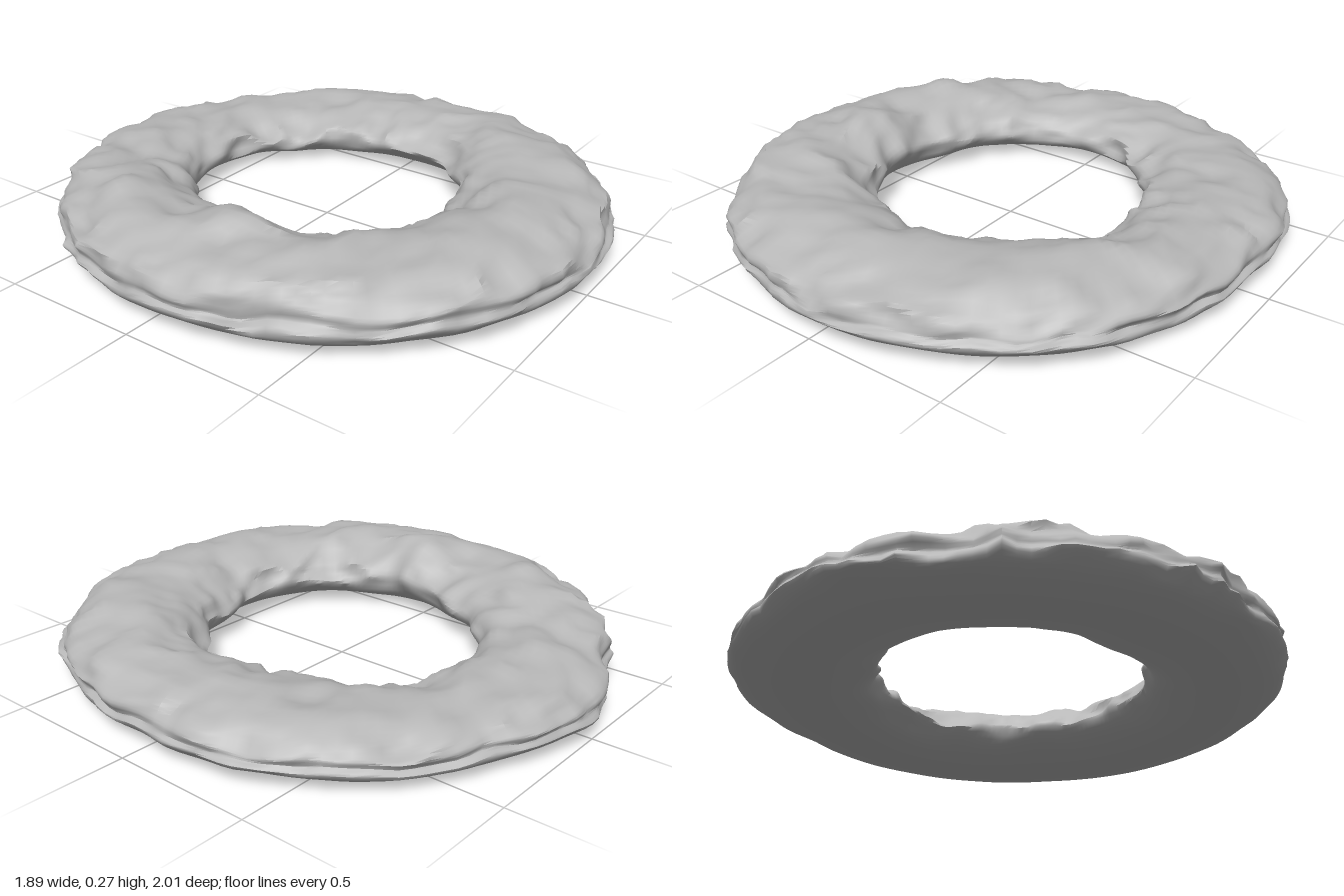
import * as THREE from 'three';
import { toCreasedNormals } from 'three/addons/utils/BufferGeometryUtils.js';

// Sixteen compass readings, starting at +x and turning towards the front (+z)
const OUTER = [.93, .95, .97, .98, .99, .98, .97, .95, .94, .94, .935, .95, 1, .98, .98, .96];
const INNER = [.48, .5, .48, .44, .46, .47, .48, .46, .46, .44, .48, .5, .53, .53, .49, .47];
const HEIGHT = [.19, .2, .215, .22, .22, .225, .24, .24, .235, .22, .22, .195, .175, .165, .17, .185];

// Ring section: across (0 inner, 1 outer) and up (0 ground, 1 crest)
const SECTION = [[.24, .05], [.48, 0], [.72, .02], [.87, .11], [.96, .22], [1, .36], [.965, .44], [.98, .56],
  [.945, .7], [.86, .83], [.7, .95], [.48, 1], [.28, .94], [.13, .79], [.03, .6], [0, .42], [.08, .2]];

const AROUND = 144, ACROSS = 51;

// Smooth periodic reading of a list, t in 0..1
function cyclic(list, t) {
  const n = list.length, f = t * n, i = Math.floor(f), k = f - i;
  const s = k * k * (3 - 2 * k);
  return list[i % n] * (1 - s) + list[(i + 1) % n] * s;
}

// Seeded value noise in -1..1
function hash(x, y, z) {
  const s = Math.sin(x * 127.1 + y * 311.7 + z * 74.7) * 43758.5453;
  return (s - Math.floor(s)) * 2 - 1;
}
function noise(x, y, z) {
  const c = [x, y, z].map(Math.floor);
  const [u, v, w] = [x, y, z].map((a, i) => { const f = a - c[i]; return f * f * (3 - 2 * f); });
  let sum = 0;
  for (let k = 0; k < 8; k++) {
    const a = k & 1, b = (k >> 1) & 1, d = k >> 2;
    sum += hash(c[0] + a, c[1] + b, c[2] + d) * (a ? u : 1 - u) * (b ? v : 1 - v) * (d ? w : 1 - w);
  }
  return sum;
}

// Small raised lumps: x, z, height, radius
const KNOLLS = [[-.57, .08, .035, .11], [-.62, -.39, .025, .07], [.52, .3, .012, .1], [.1, .7, .012, .12]];

function ringGeometry() {
  const curve = new THREE.CatmullRomCurve3(SECTION.map(([u, v]) => new THREE.Vector3(u, v, 0)), true);
  const profile = curve.getPoints(ACROSS).slice(0, ACROSS);
  const positions = [], index = [];
  for (let i = 0; i < AROUND; i++) {
    const t = i / AROUND, angle = t * Math.PI * 2;
    const inner = cyclic(INNER, t), outer = cyclic(OUTER, t), height = cyclic(HEIGHT, t);
    for (const p of profile) {
      let r = inner + (outer - inner) * p.x;
      let y = Math.max(p.y, 0) * height;
      const x = Math.cos(angle) * r, z = Math.sin(angle) * r;
      // Rugged stone above, worn smooth underneath
      const rough = THREE.MathUtils.smoothstep(p.y, .03, .45);
      const broad = noise(x * 7, y * 9, z * 7), ridge = .4 - Math.abs(noise(x * 8 + 7, y * 16, z * 8));
      const fine = noise(x * 17, y * 25 + 5, z * 17);
      y += rough * (broad * .016 + ridge * .022 + fine * .007);
      // Ragged ledges on both rims
      const rim = (p.x - .5) * 2;
      r += rough * rim * (ridge * .03 + noise(x * 8, y * 22, z * 8 + 3) * .02 + fine * .009);
      for (const [kx, kz, lift, radius] of KNOLLS) {
        const d = Math.hypot(x - kx, z - kz) / radius;
        y += rough * lift * Math.exp(-(d ** 4));
      }
      positions.push(Math.cos(angle) * r, y, Math.sin(angle) * r);
    }
  }
  for (let i = 0; i < AROUND; i++) {
    for (let j = 0; j < ACROSS; j++) {
      const i2 = (i + 1) % AROUND, j2 = (j + 1) % ACROSS;
      const a = i * ACROSS + j, b = i * ACROSS + j2, c = i2 * ACROSS + j, d = i2 * ACROSS + j2;
      index.push(a, b, c, b, d, c);
    }
  }
  const geometry = new THREE.BufferGeometry();
  geometry.setAttribute('position', new THREE.Float32BufferAttribute(positions, 3));
  geometry.setIndex(index);
  // Stand on the ground, centred
  geometry.computeBoundingBox();
  const { min, max } = geometry.boundingBox;
  geometry.translate(-(min.x + max.x) / 2, -min.y, -(min.z + max.z) / 2);
  return toCreasedNormals(geometry, .8);
}

export function createModel() {
  const group = new THREE.Group();
  group.name = 'stoneRing';
  const stone = new THREE.MeshStandardMaterial({ color: 0xb8b8b8 });
  stone.name = 'grey stone';
  const ring = new THREE.Mesh(ringGeometry(), stone);
  ring.name = 'ruggedRing';
  group.add(ring);
  return group;
}
